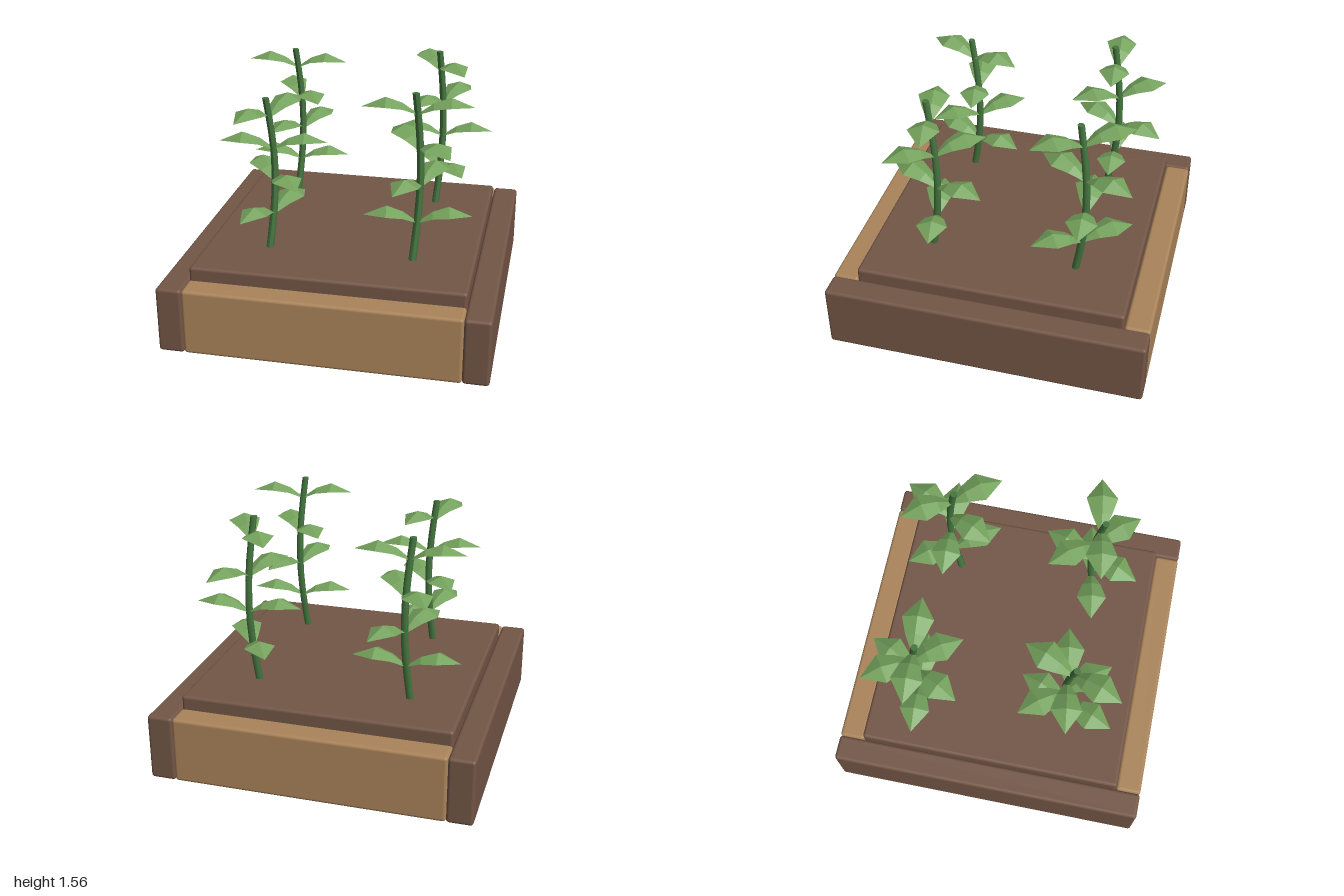
import * as THREE from 'three';
import { RoundedBoxGeometry } from 'three/addons/geometries/RoundedBoxGeometry.js';

const darkWood = new THREE.MeshStandardMaterial({ name: 'darkBrown', color: 0x735646 });
const lightWood = new THREE.MeshStandardMaterial({ name: 'lightWood', color: 0xaa845a });
const stemGreen = new THREE.MeshStandardMaterial({ name: 'stemGreen', color: 0x44753f });
const leafGreen = new THREE.MeshStandardMaterial({
  name: 'leafGreen', color: 0x74a25c, flatShading: true, side: THREE.DoubleSide,
});

const SOIL_TOP = 0.5;

function plank(name, material, w, h, d, x, y, z) {
  const mesh = new THREE.Mesh(new RoundedBoxGeometry(w, h, d, 3, 0.02), material);
  mesh.name = name;
  mesh.position.set(x, y, z);
  return mesh;
}

// Sideways sway of a stem at height fraction t
const sway = (t) => {
  const s = Math.sin(Math.PI * t);
  return [0.03 * s, -0.055 * s];
};

function stemGeometry(height) {
  const geo = new THREE.CylinderGeometry(0.021, 0.024, height, 8, 8);
  geo.translate(0, height / 2, 0);
  const pos = geo.attributes.position;
  for (let i = 0; i < pos.count; i++) {
    const [dx, dz] = sway(pos.getY(i) / height);
    pos.setX(i, pos.getX(i) + dx);
    pos.setZ(i, pos.getZ(i) + dz);
  }
  geo.computeVertexNormals();
  return geo;
}

// Folded leaf along +x: rows of [reach, rise, half width], with a raised midrib
function leafGeometry() {
  const rows = [[0, 0, 0.012], [0.09, 0.065, 0.06], [0.19, 0.1, 0.095], [0.33, 0.04, 0]];
  const points = [];
  for (const [x, y, w] of rows) {
    points.push(x, y - 0.4 * w, -w, x, y, 0, x, y - 0.4 * w, w);
  }
  const index = [];
  for (let r = 0; r < rows.length - 1; r++) {
    for (let c = 0; c < 2; c++) {
      const a = r * 3 + c, b = a + 1, d = a + 3, e = a + 4;
      if (r < rows.length - 2) index.push(a, b, d, b, e, d);
      else index.push(a, b, e);
    }
  }
  const geo = new THREE.BufferGeometry();
  geo.setAttribute('position', new THREE.Float32BufferAttribute(points, 3));
  geo.setIndex(index);
  geo.computeVertexNormals();
  return geo;
}

function createPlant(height, turn, leafGeo) {
  const plant = new THREE.Group();
  plant.name = 'plant';
  const stem = new THREE.Mesh(stemGeometry(height), stemGreen);
  stem.name = 'stem';
  plant.add(stem);

  // Four tiers of opposite leaves, each turned a further sixth of a circle
  for (let tier = 0; tier < 4; tier++) {
    const t = 0.226 + tier * 0.217;
    const [dx, dz] = sway(t);
    for (let side = 0; side < 2; side++) {
      const leaf = new THREE.Mesh(leafGeo, leafGreen);
      leaf.name = 'leaf';
      leaf.position.set(dx, t * height, dz);
      leaf.rotation.y = THREE.MathUtils.degToRad(turn + tier * 60 + side * 180);
      plant.add(leaf);
    }
  }
  return plant;
}

export function createModel() {
  const model = new THREE.Group();
  model.name = 'planterBed';

  // Frame and soil slab
  for (const s of [-1, 1]) {
    model.add(plank(s > 0 ? 'leftPlank' : 'rightPlank', darkWood, 0.16, 0.42, 2, s * 0.92, 0.21, 0));
    model.add(plank(s > 0 ? 'frontPlank' : 'backPlank', lightWood, 1.68, 0.42, 0.16, 0, 0.21, s * 0.92));
  }
  model.add(plank('soil', darkWood, 1.68, 0.16, 1.68, 0, SOIL_TOP - 0.08, 0));

  // Plants: x, z, height, turn in degrees
  const leafGeo = leafGeometry();
  const plants = [
    [-0.5, -0.48, 1.02, 3],
    [0.475, -0.465, 1.06, -57],
    [-0.44, 0.455, 0.97, 68],
    [0.46, 0.46, 1.06, 9],
  ];
  for (const [x, z, height, turn] of plants) {
    const plant = createPlant(height, turn, leafGeo);
    plant.position.set(x, SOIL_TOP, z);
    model.add(plant);
  }
  return model;
}
